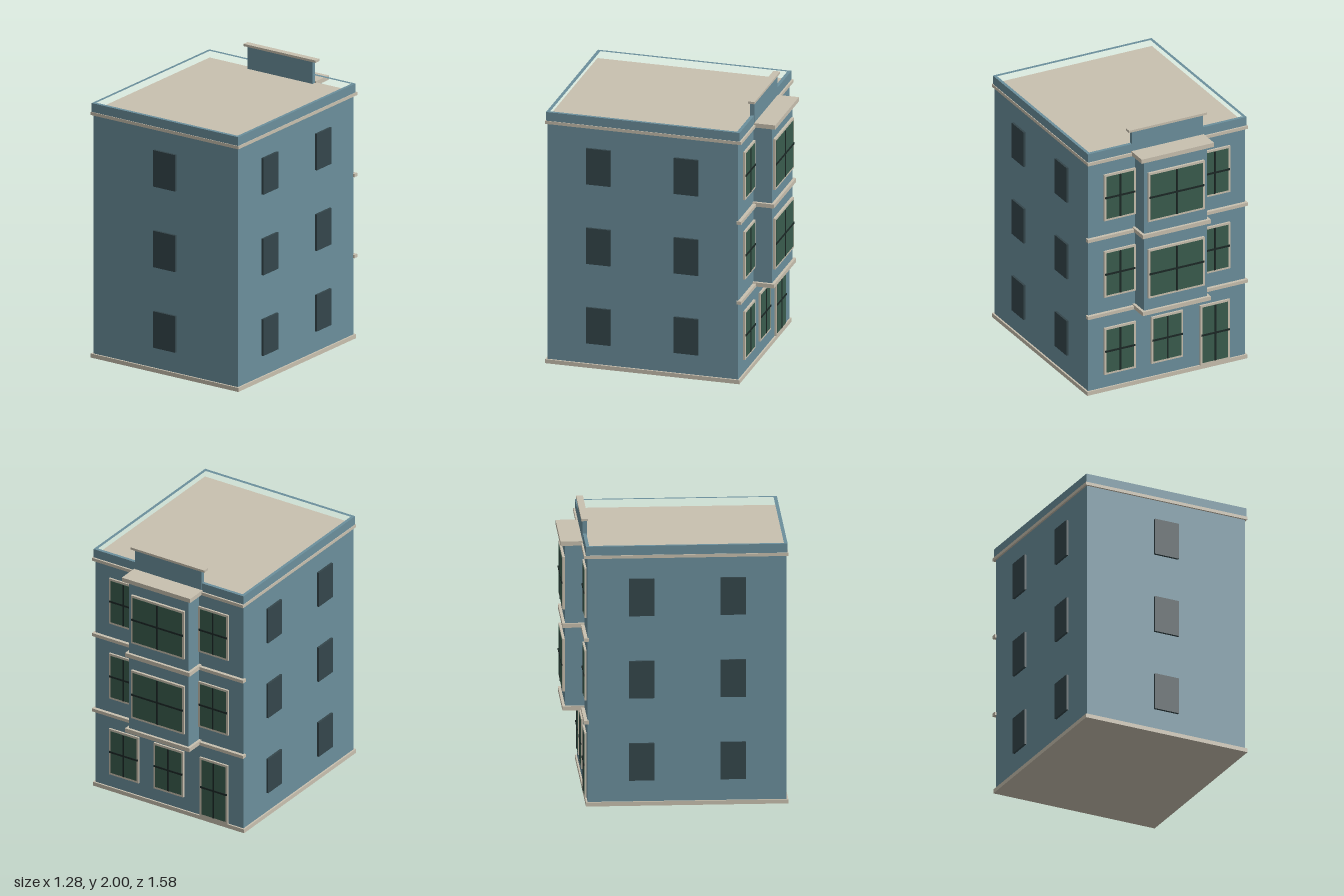
import * as THREE from 'three';

function mat(name, color) {
  const m = new THREE.MeshStandardMaterial({ color });
  m.name = name;
  return m;
}

export function createModel() {
  const wall = mat('blue wall', 0x6b8f9c);
  const trim = mat('stone trim', 0xc8c0af);
  const dark = mat('dark pane', 0x34464b);
  const glass = mat('green glass', 0x395c4d);
  const bar = mat('glazing bar', 0x1c2826);

  const model = new THREE.Group();
  model.name = 'townhouse';

  // Box given by its limits on each axis
  function box(name, material, x0, x1, y0, y1, z0, z1, parent = model) {
    const mesh = new THREE.Mesh(new THREE.BoxGeometry(x1 - x0, y1 - y0, z1 - z0), material);
    mesh.position.set((x0 + x1) / 2, (y0 + y1) / 2, (z0 + z1) / 2);
    mesh.name = name;
    parent.add(mesh);
    return mesh;
  }

  // Main block, plinth and the slab that forms both cornice and roof
  box('mainWalls', wall, -0.622, 0.622, 0.03, 1.797, -0.62, 0.775);
  box('plinth', trim, -0.635, 0.635, 0, 0.03, -0.632, 0.788);
  box('roofCornice', trim, -0.635, 0.635, 1.797, 1.82, -0.645, 0.788);

  // Hollow parapet around the roof
  const rectangle = (Type, x, z0, z1) => new Type([
    new THREE.Vector2(-x, -z0), new THREE.Vector2(x, -z0),
    new THREE.Vector2(x, -z1), new THREE.Vector2(-x, -z1),
  ]);
  const ring = rectangle(THREE.Shape, 0.63, -0.632, 0.783);
  ring.holes.push(rectangle(THREE.Path, 0.608, -0.608, 0.758));
  const parapet = new THREE.Mesh(
    new THREE.ExtrudeGeometry(ring, { depth: 0.065, bevelEnabled: false }), wall);
  parapet.rotation.x = -Math.PI / 2;
  parapet.position.y = 1.82;
  parapet.name = 'parapet';
  model.add(parapet);

  // Raised centre of the parapet with its cap
  box('raisedParapet', wall, -0.28, 0.28, 1.82, 1.983, -0.635, -0.602);
  box('parapetCap', trim, -0.31, 0.31, 1.983, 2, -0.645, -0.597);

  // Projecting bay with ledges
  box('bayWalls', wall, -0.25, 0.25, 0.63, 1.8, -0.755, -0.6);
  box('bayLowerLedge', trim, -0.27, 0.27, 0.6, 0.63, -0.775, -0.61);
  box('bayMiddleLedge', trim, -0.27, 0.27, 1.2, 1.23, -0.775, -0.61);
  box('bayRoof', trim, -0.287, 0.287, 1.8, 1.832, -0.79, -0.633);

  // String courses across the street facade
  for (const y of [0.597, 1.197]) {
    box('stringCourse', trim, -0.635, 0.635, y, y + 0.024, -0.645, -0.61);
  }

  // Plain windows on the front and both sides
  for (const y of [0.183, 0.78, 1.377]) {
    box('frontWindow', dark, -0.094, 0.094, y, y + 0.27, 0.77, 0.793);
    for (const z of [0.4, -0.242]) {
      for (const s of [-1, 1]) {
        const pane = box('sideWindow', dark, 0.615, 0.638, y, y + 0.27, z - 0.089, z + 0.089);
        pane.position.x *= s;
      }
    }
  }

  // Framed four-pane opening on the facade plane z, facing -z
  function facadeWindow(name, x, width, y0, y1, z, depth) {
    const g = new THREE.Group();
    g.name = name;
    model.add(g);
    const h = width / 2, e = 0.016, face = z - depth, mid = (y0 + y1) / 2;
    box('frame', trim, x - h, x + h, y0, y1, face, z + 0.01, g);
    box('glass', glass, x - h + e, x + h - e, y0 + e, y1 - e, face - 0.002, face, g);
    box('verticalBar', bar, x - 0.006, x + 0.006, y0 + e, y1 - e, face - 0.006, face, g);
    box('horizontalBar', bar, x - h + 0.006, x + h - 0.006, mid - 0.007, mid + 0.007, face - 0.006, face, g);
  }

  // Upper floors: a wide bay window between two narrower ones
  for (const y of [0.725, 1.322]) {
    facadeWindow('bayWindow', 0, 0.445, y, y + 0.38, -0.755, 0.018);
    for (const x of [-0.375, 0.375]) {
      facadeWindow('upperWindow', x, 0.25, y + 0.01, y + 0.37, -0.62, 0.014);
    }
  }

  // Ground floor: two windows and the door
  for (const x of [0, 0.375]) facadeWindow('groundWindow', x, 0.25, 0.132, 0.495, -0.62, 0.014);
  facadeWindow('door', -0.38, 0.235, 0.03, 0.495, -0.62, 0.014);

  return model;
}
